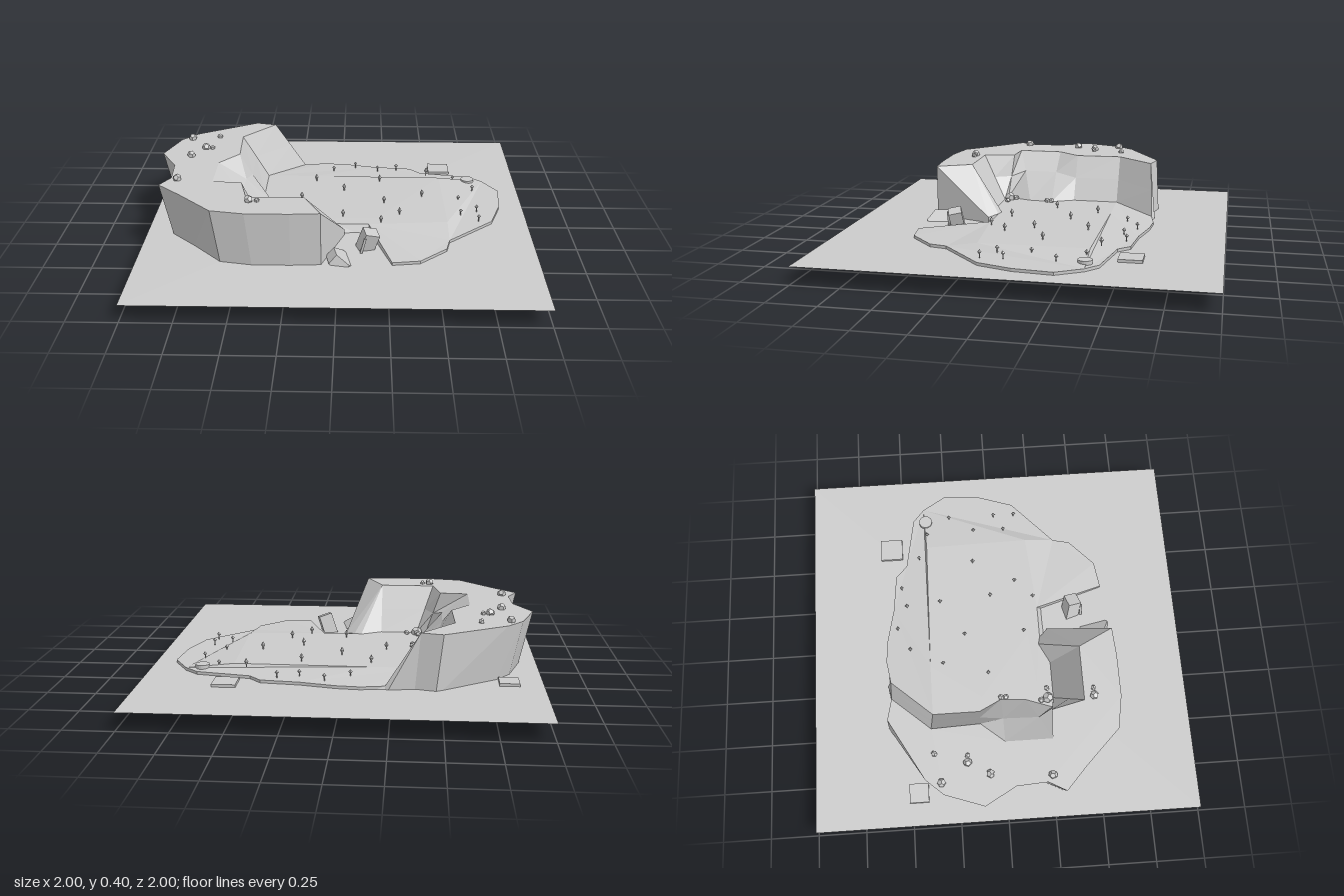
import * as THREE from 'three';

const mat = new THREE.MeshStandardMaterial({ color: 0xcccccc, flatShading: true, side: THREE.DoubleSide });
const TOP = 0.38, FLOOR = 0.14, RIM = 0.115, BASE = 0.07, GROUND = 0.1;

const at = (pts, y) => pts.map(([x, z]) => [x, y, z]);

function mesh(name, geo, pos = [0, 0, 0], rot = [0, 0, 0], scale = [1, 1, 1]) {
  const m = new THREE.Mesh(geo, mat);
  m.name = name;
  m.position.set(...pos);
  m.rotation.set(...rot);
  m.scale.set(...scale);
  return m;
}

function soup(name, tris) {
  const g = new THREE.BufferGeometry();
  g.setAttribute('position', new THREE.Float32BufferAttribute(tris.flat(2), 3));
  g.computeVertexNormals();
  return mesh(name, g);
}

// Strip of quads between two rows of equal length
function strip(name, a, b) {
  const t = [];
  for (let i = 0; i < a.length - 1; i++) t.push([a[i], b[i], b[i + 1]], [a[i], b[i + 1], a[i + 1]]);
  return soup(name, t);
}

// Polygon filled as seen from above, keeping each corner's own height
function cap(name, pts, hole = [], up = true) {
  const flat = p => p.map(([x, , z]) => new THREE.Vector2(x, -z));
  let c = pts.slice(), h = hole.slice();
  if (THREE.ShapeUtils.isClockWise(flat(c))) c.reverse();
  if (h.length && !THREE.ShapeUtils.isClockWise(flat(h))) h.reverse();
  const all = [...c, ...h];
  const faces = THREE.ShapeUtils.triangulateShape(flat(c), h.length ? [flat(h)] : []);
  return soup(name, faces.map(([i, j, k]) => up ? [all[i], all[j], all[k]] : [all[i], all[k], all[j]]));
}

export function createModel() {
  const group = new THREE.Group();
  group.name = 'island';

  // Outlines in x, z
  const cliff = [[-0.08, 0.6], [-0.23, 0.61], [-0.45, 0.61], [-0.62, 0.58], [-0.8, 0.4], [-0.92, 0.29],
    [-0.87, 0.2], [-0.88, 0.04], [-0.97, -0.12], [-0.9, -0.32], [-0.82, -0.41], [-0.5, -0.59], [-0.39, -0.565]];
  const shore = [[-0.22, -0.59], [-0.1, -0.61], [0.02, -0.6], [0.2, -0.56], [0.4, -0.54], [0.46, -0.48],
    [0.74, -0.43], [0.81, -0.37], [0.89, -0.24], [0.87, -0.04], [0.81, 0.14], [0.57, 0.36], [0.55, 0.45],
    [0.41, 0.58], [0.27, 0.6]];
  const crest = at([[-0.39, -0.565], [-0.56, -0.37], [-0.55, -0.12], [-0.65, 0], [-0.65, 0.24],
    [-0.5, 0.25], [-0.46, 0.42], [-0.17, 0.42]], TOP);
  const foot = at([[-0.22, -0.59], [-0.42, -0.37], [-0.42, -0.12], [-0.36, 0], [-0.37, 0.13],
    [-0.42, 0.27], [-0.37, 0.28], [-0.17, 0.28]], FLOOR);
  foot[0][1] = RIM;

  // Ground sheet
  group.add(mesh('ground', new THREE.PlaneGeometry(2, 2), [0, GROUND, 0], [-Math.PI / 2, 0, 0]));

  // High plateau and its inner slope, with a bulging middle row on the wide part
  group.add(cap('plateau', [...at(cliff, TOP), ...crest.slice(1)]));
  const middle = crest.map((p, i) => p.map((v, k) => (v + foot[i][k]) / 2));
  for (const i of [3, 4]) middle[i][1] += 0.025;
  group.add(strip('upperSlope', crest, middle), strip('lowerSlope', middle, foot));

  // Outer walls: the cliff leans in toward its base
  const wallTop = [...at(cliff, TOP), ...at(shore, RIM)];
  const wallBase = wallTop.map(([x, , z]) => [x < -0.3 ? x * 0.93 : x, BASE, z < -0.55 && x < -0.2 ? z - 0.02 : z]);
  group.add(strip('outerWall', wallTop, wallBase));

  // Lowland: flat middle with a gentle fall to the shore
  const notchA = [-0.02, FLOOR, 0.235], notchB = [0.155, FLOOR, 0.235], bend = [-0.06, FLOOR, 0.225];
  const inner = at([[-0.15, -0.37], [0.56, -0.36], [0.57, 0.2], [0.2, 0.17], [0, 0.17], [-0.3, 0.2], [-0.34, -0.1]], FLOOR);
  group.add(cap('lowland', inner));
  group.add(cap('lowlandEdge', [...at(shore, RIM), notchB, notchA, bend, ...foot.slice(1).reverse()], inner));

  // Notch walls
  const baseA = [0.03, BASE, 0.28], baseB = [0.17, BASE, 0.275];
  const cliffEnd = [-0.08, TOP, 0.6], cliffBase = [-0.08, BASE, 0.6], crestEnd = crest[7];
  const lip = [0.03, 0.13, 0.28];
  group.add(soup('notchWall', [
    [crestEnd, foot[7], bend], [crestEnd, bend, notchA],
    [crestEnd, notchA, lip], [crestEnd, lip, cliffEnd],
    [cliffEnd, lip, baseA], [cliffEnd, baseA, cliffBase],
    [notchA, baseA, lip], [notchA, notchB, baseB], [notchA, baseB, baseA],
    [notchB, [0.27, RIM, 0.6], [0.27, BASE, 0.6]], [notchB, [0.27, BASE, 0.6], baseB],
  ]));
  group.add(cap('underside', [...wallBase, baseB, baseA], [], false));

  // Fallen blocks in the notch
  group.add(mesh('fallenBlock', new THREE.BoxGeometry(0.075, 0.18, 0.07), [0.14, 0.11, 0.42], [0.2, 0.25, -0.33]));
  group.add(mesh('splinter', new THREE.BoxGeometry(0.012, 0.1, 0.012), [0.125, 0.13, 0.475], [0, 0, -0.25]));
  group.add(mesh('fallenSlab', new THREE.CylinderGeometry(0.08, 0.085, 0.06, 6), [0.025, 0.085, 0.545], [0, 0.2, -0.65]));

  // Pads on the ground and a disc on the lowland
  group.add(mesh('largePad', new THREE.BoxGeometry(0.12, 0.035, 0.12), [0.57, 0.097, -0.56]));
  group.add(mesh('smallPad', new THREE.BoxGeometry(0.1, 0.035, 0.1), [-0.83, 0.097, -0.46]));
  group.add(mesh('disc', new THREE.CylinderGeometry(0.036, 0.036, 0.03, 20), [0.725, 0.12, -0.36]));

  // Diamond plants on thin stalks
  const plants = [[-0.045, -0.475], [0.08, -0.54], [0.21, -0.485], [0.32, -0.51], [0.49, -0.405], [0.64, -0.355],
    [0.74, -0.225], [0.65, -0.09], [0.74, 0.03], [0.65, 0.08], [0.74, 0.145], [0.45, -0.105], [0.24, -0.02],
    [0.32, 0.12], [0.22, 0.215], [0.02, 0.15], [-0.21, -0.06], [0.02, -0.175], [-0.14, -0.3], [0.22, -0.3]];
  const bud = new THREE.OctahedronGeometry(0.011), stalk = new THREE.CylinderGeometry(0.003, 0.003, 0.03, 5);
  for (const [x, z] of plants) {
    const low = x > 0.6 || z < -0.45;
    const y = low ? 0.122 : FLOOR;
    group.add(mesh('stalk', stalk, [x, y + 0.01, z]));
    group.add(mesh('bud', bud, [x, y + 0.025, z], [0, 0, 0], [1, low ? 1.1 : 1.8, 1]));
  }

  // Boulders: x, z, radius, ground height
  const boulders = [[-0.84, -0.33, 0.023, TOP], [-0.69, -0.36, 0.016, TOP], [-0.745, -0.195, 0.023, TOP],
    [-0.71, -0.195, 0.014, TOP], [-0.81, -0.085, 0.023, TOP], [-0.835, 0.225, 0.023, TOP], [-0.44, 0.47, 0.023, TOP],
    [-0.4, 0.47, 0.014, TOP], [-0.35, 0, 0.016, FLOOR], [-0.35, 0.025, 0.016, FLOOR], [-0.37, 0.25, 0.03, FLOOR],
    [-0.315, 0.25, 0.015, FLOOR], [-0.38, 0.215, 0.017, FLOOR]];
  const stone = new THREE.DodecahedronGeometry(1);
  boulders.forEach(([x, z, r, y], i) =>
    group.add(mesh('boulder', stone, [x, y + r * 0.4, z], [0, i * 0.9, 0], [r, r, r])));

  return group;
}
